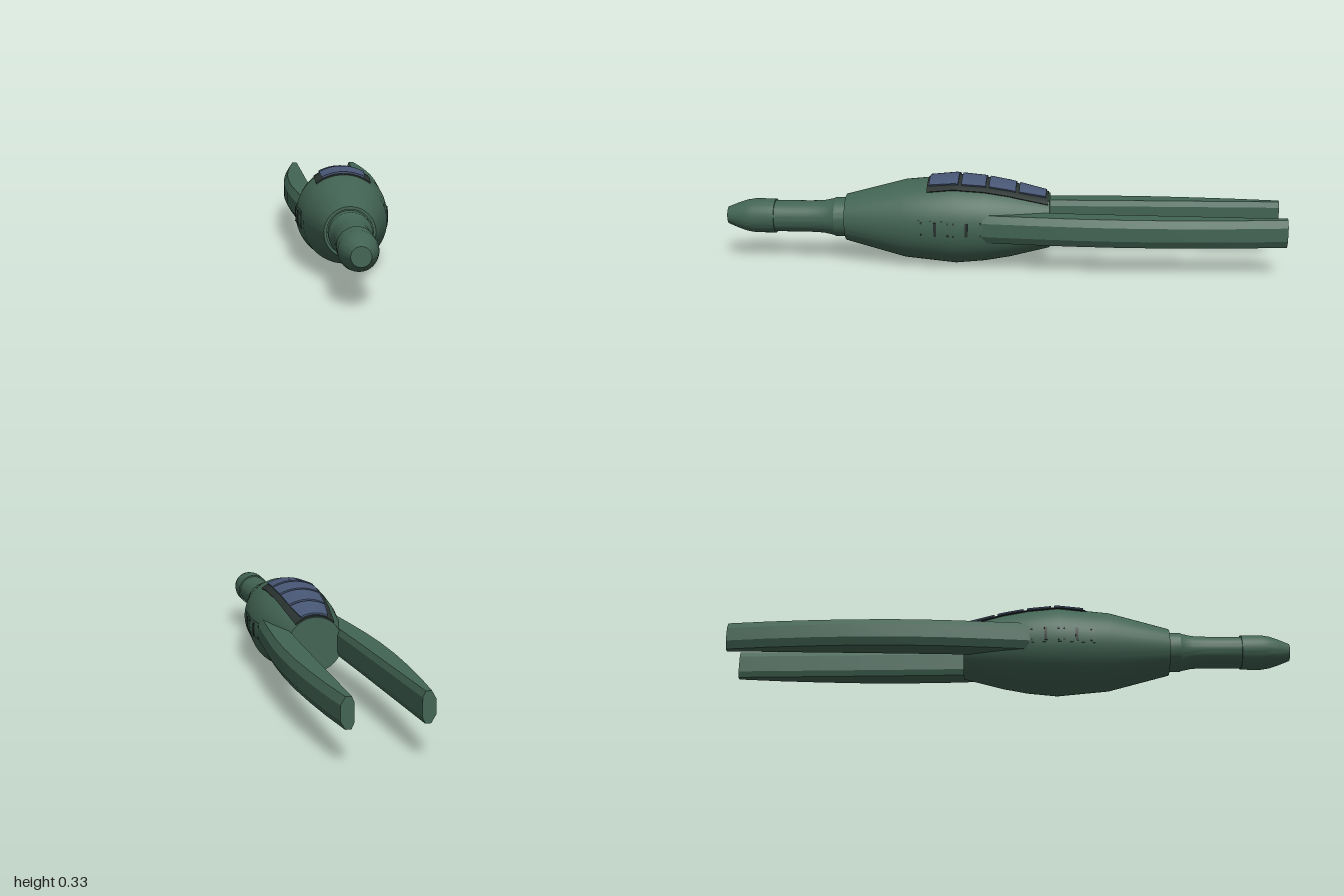
import * as THREE from 'three';
import { toCreasedNormals } from 'three/addons/utils/BufferGeometryUtils.js';

const AXIS_Y = 0.162;

// hull profile: [z, radius]
const HULL = [[-0.17, 0.098], [-0.03, 0.133], [0.06, 0.149], [0.165, 0.159], [0.35, 0.141], [0.565, 0.084]];

// linear lookup in a table of [z, value] sorted by z
function lookup(table, z) {
  for (let i = 1; i < table.length; i++) {
    const [z0, v0] = table[i - 1], [z1, v1] = table[i];
    if (z <= z1 || i === table.length - 1) return v0 + (v1 - v0) * (z - z0) / (z1 - z0);
  }
}

// body of revolution lying along z
function turned(profile, segments = 48) {
  const geo = new THREE.LatheGeometry(profile.map(([z, r]) => new THREE.Vector2(r, z)), segments);
  geo.rotateX(Math.PI / 2);
  geo.translate(0, AXIS_Y, 0);
  return toCreasedNormals(geo, 0.5);
}

// thin curved plate wrapped on the hull: angle 0 is the top, +90 degrees is +x
function hullPlate(z0, z1, angle, halfAngle, low, high, across = 12, along = 8) {
  const geo = new THREE.BoxGeometry(2, 1, 1, across, 1, along);
  const p = geo.attributes.position;
  for (let i = 0; i < p.count; i++) {
    const z = z0 + (p.getZ(i) + 0.5) * (z1 - z0);
    const r = lookup(HULL, z) + (p.getY(i) > 0 ? high : low);
    const a = angle + p.getX(i) * halfAngle(z);
    p.setXYZ(i, Math.sin(a) * r, AXIS_Y + Math.cos(a) * r, z);
  }
  return toCreasedNormals(geo, 0.5);
}

// arm lofted through chamfered cross-sections from front to back
function armGeometry(side) {
  const stations = [ // z, inner x, outer x
    [0.2, 0.07, 0.125], [0.05, 0.073, 0.153], [-0.1, 0.078, 0.166], [-0.25, 0.083, 0.177],
    [-0.4, 0.088, 0.182], [-0.55, 0.092, 0.181], [-0.7, 0.096, 0.174], [-0.85, 0.1, 0.163], [-1, 0.104, 0.147],
  ];
  const rings = stations.map(([z, a, b]) => {
    const pts = [
      [a + 0.009, -0.05], [b - 0.015, -0.05], [b, -0.024], [b, 0.024],
      [b - 0.015, 0.05], [a + 0.009, 0.05], [a, 0.03], [a, -0.03],
    ].map(([x, y]) => [side * x, AXIS_Y + y, z]);
    return side < 0 ? pts.reverse() : pts;
  });
  const v = [];
  const n = 8, last = rings.length - 1;
  for (let i = 0; i < last; i++) {
    for (let j = 0; j < n; j++) {
      const k = (j + 1) % n;
      const a = rings[i][j], b = rings[i][k], c = rings[i + 1][k], d = rings[i + 1][j];
      v.push(...a, ...d, ...b, ...b, ...d, ...c);
    }
  }
  for (let j = 1; j < n - 1; j++) {
    v.push(...rings[last][0], ...rings[last][j + 1], ...rings[last][j]);
    v.push(...rings[0][0], ...rings[0][j], ...rings[0][j + 1]);
  }
  const geo = new THREE.BufferGeometry();
  geo.setAttribute('position', new THREE.Float32BufferAttribute(v, 3));
  return toCreasedNormals(geo, 0.3);
}

export function createModel() {
  const model = new THREE.Group();
  model.name = 'spacecraft';

  const material = (name, color) => {
    const m = new THREE.MeshStandardMaterial({ color });
    m.name = name;
    return m;
  };
  const green = material('hull green', 0x426454);
  const blue = material('window blue', 0x475674);
  const dark = material('frame dark', 0x28322f);

  const add = (name, geo, mat, parent = model) => {
    const mesh = new THREE.Mesh(geo, mat);
    mesh.name = name;
    parent.add(mesh);
    return mesh;
  };

  // hull with flat back and a shallow recess at the front
  add('hull', turned([[-0.17, 0], ...HULL, [0.565, 0.075], [0.558, 0.075], [0.558, 0]], 64), green);

  // neck, collar and nose
  add('neck', turned([
    [0.54, 0], [0.54, 0.071], [0.605, 0.071], [0.612, 0.067], [0.65, 0.059], [0.7, 0.057], [0.825, 0.057],
  ]), green);
  add('nose', turned([
    [0.825, 0], [0.825, 0.062], [0.9, 0.062], [0.93, 0.057], [0.96, 0.047], [1, 0.031], [1, 0],
  ]), green);

  // canopy frame and its four panes
  const canopy = new THREE.Group();
  canopy.name = 'canopy';
  model.add(canopy);
  const frameWidth = [[-0.165, 0.072], [-0.05, 0.085], [0.05, 0.092], [0.15, 0.098], [0.265, 0.095]];
  const paneWidth = [[-0.165, 0.046], [-0.05, 0.064], [0.05, 0.071], [0.15, 0.077], [0.265, 0.071]];
  const spread = (table) => (z) => Math.asin(lookup(table, z) / (lookup(HULL, z) + 0.006));
  add('canopyFrame', hullPlate(-0.165, 0.265, 0, spread(frameWidth), -0.01, 0.004, 16, 24), dark, canopy);
  [[-0.157, -0.062], [-0.05, 0.044], [0.056, 0.142], [0.154, 0.258]].forEach(([z0, z1], i) => {
    add(`canopyPane${i + 1}`, hullPlate(z0, z1, 0, spread(paneWidth), 0.001, 0.01), blue, canopy);
  });

  // arms and side panels, mirrored
  for (const side of [1, -1]) {
    const label = side > 0 ? 'left' : 'right';
    add(`${label}Arm`, armGeometry(side), green);

    const panel = new THREE.Group();
    panel.name = `${label}SidePanel`;
    model.add(panel);
    const angle = side * Math.PI / 2;
    const rise = (h) => (z) => h / lookup(HULL, z);
    add('panelPlate', hullPlate(0.05, 0.295, angle, rise(0.03), -0.008, 0.002), green, panel);
    for (const z of [0.12, 0.23]) {
      add('panelSlot', hullPlate(z - 0.005, z + 0.005, angle, rise(0.024), -0.005, 0.005, 4, 1), dark, panel);
    }
    // small rivets at the panel corners
    for (const z of [0.07, 0.165, 0.185, 0.28]) {
      for (const s of [-1, 1]) {
        add('rivet', hullPlate(z - 0.003, z + 0.003, angle + s * 0.14, rise(0.003), -0.003, 0.004, 1, 1), dark, panel);
      }
    }
  }
  return model;
}
